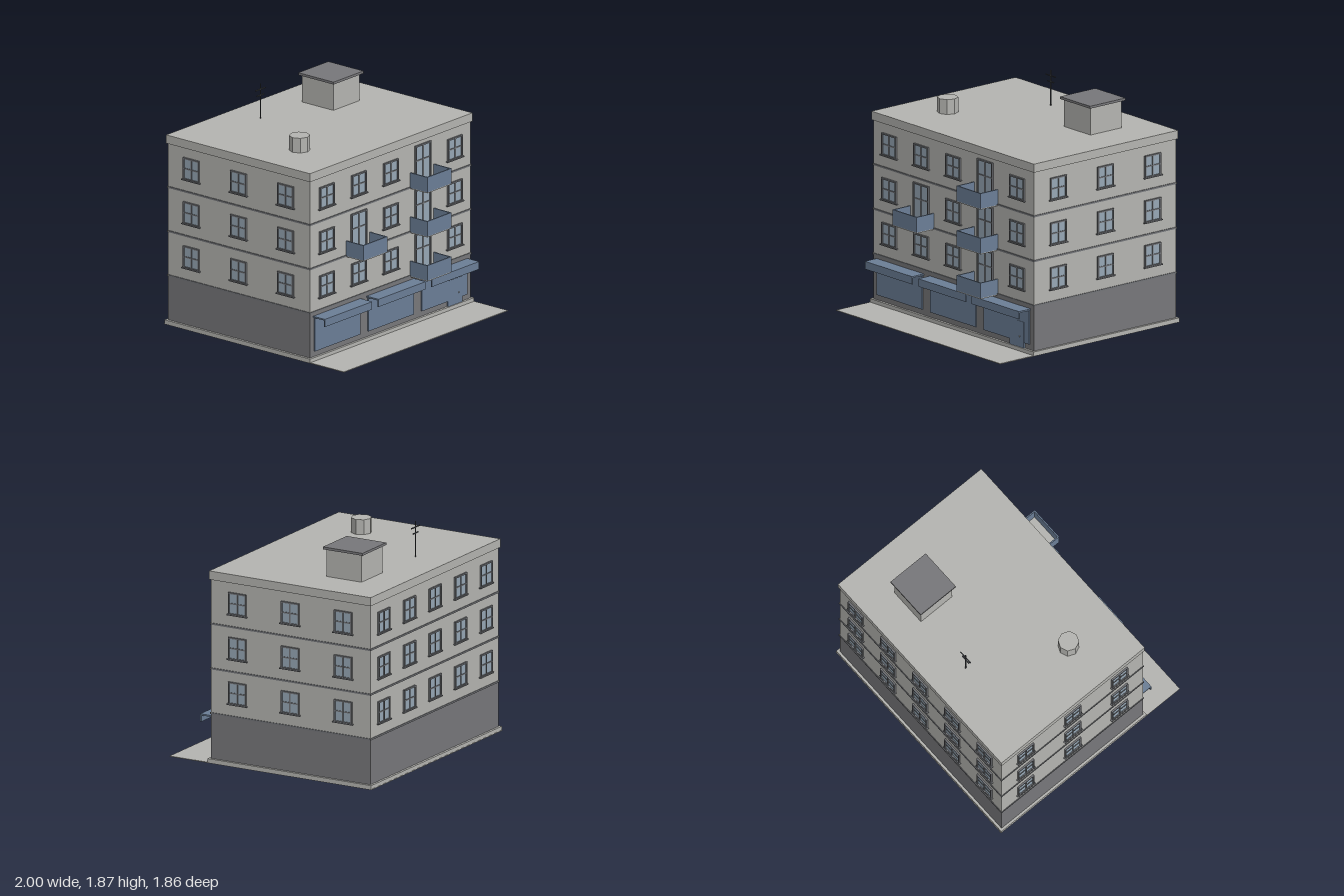
import * as THREE from 'three';

const mat = (name, color) => {
  const m = new THREE.MeshStandardMaterial({ color });
  m.name = name;
  return m;
};

export function createModel() {
  const concrete = mat('concrete', 0xb4b4b0);
  const darkStone = mat('dark stone', 0x77777a);
  const trim = mat('trim grey', 0x727478);
  const blue = mat('painted blue', 0x6b7e96);
  const glass = mat('window glass', 0x96a7b5);
  const metal = mat('antenna metal', 0x45484d);

  const model = new THREE.Group();
  model.name = 'apartmentBlock';

  // Box given by its centre x/z, bottom y and top y
  const box = (parent, name, m, w, d, y0, y1, x = 0, z = 0) => {
    const mesh = new THREE.Mesh(new THREE.BoxGeometry(w, y1 - y0, d), m);
    mesh.name = name;
    mesh.position.set(x, (y0 + y1) / 2, z);
    parent.add(mesh);
    return mesh;
  };
  const group = (parent, name, x = 0, y = 0, z = 0, turn = 0) => {
    const g = new THREE.Group();
    g.name = name;
    g.position.set(x, y, z);
    g.rotation.y = turn;
    parent.add(g);
    return g;
  };

  const W = 1.96, D = 1.47, CZ = -0.173, FRONT = CZ + D / 2;
  const FLOOR0 = 0.405, STOREY = 0.3675;

  // Main body
  box(model, 'pavement', concrete, 2, 1.86, 0, 0.006);
  box(model, 'plinth', concrete, 2, 1.51, 0.006, 0.036, 0, CZ);
  box(model, 'groundFloor', darkStone, W, D, 0.036, FLOOR0, 0, CZ);
  box(model, 'upperFloors', concrete, W, D, FLOOR0, 1.505, 0, CZ);
  box(model, 'parapet', concrete, W + 0.02, D + 0.02, 1.505, 1.575, 0, CZ);
  for (let f = 0; f < 3; f++) {
    const y = FLOOR0 + f * STOREY;
    box(model, 'floorBand', trim, W + 0.012, D + 0.012, y - 0.005, y + 0.009, 0, CZ);
  }

  // Glazed opening with frame and cross bars, facing local +z
  const glazing = (g, w, y0, y1, yBar) => {
    const t = 0.012, d = 0.014;
    box(g, 'pane', glass, w - t, 0.006, y0 + t / 2, y1 - t / 2, 0, 0.003);
    for (const s of [-1, 1]) box(g, 'frameSide', trim, t, d, y0, y1, s * (w - t) / 2, d / 2);
    for (const y of [y0, y1 - t]) box(g, 'frameRail', trim, w - 2 * t, d, y, y + t, 0, d / 2);
    box(g, 'verticalBar', trim, 0.01, 0.012, y0 + t, y1 - t, 0, 0.006);
    box(g, 'crossBar', trim, w - 2 * t, 0.011, yBar - 0.005, yBar + 0.005, 0, 0.0055);
  };
  const addWindow = (x, y, z, turn, w) => {
    const g = group(model, 'window', x, y, z, turn);
    glazing(g, w, 0.103, 0.286, 0.195);
    box(g, 'sill', trim, w + 0.02, 0.02, 0.098, 0.107, 0, 0.01);
  };

  // Balcony with its door
  const addBalcony = (x, y) => {
    const g = group(model, 'balcony', x, y, FRONT);
    glazing(g, 0.19, 0.009, 0.333, 0.205);
    const w = 0.296, d = 0.178, t = 0.011;
    box(g, 'balconySlab', concrete, w - 0.004, d - 0.002, -0.008, 0.005, 0, d / 2 - 0.001);
    box(g, 'frontPanel', blue, w, t, 0, 0.125, 0, d - t / 2);
    for (const s of [-1, 1]) box(g, 'sidePanel', blue, t, d - t, 0, 0.125, s * (w - t) / 2, (d - t) / 2);
    box(g, 'storageBox', concrete, 0.06, 0.045, 0.005, 0.05, 0.08, 0.055);
  };

  // Windows on all four walls
  for (let f = 0; f < 3; f++) {
    const y = FLOOR0 + f * STOREY;
    for (let i = -2; i <= 2; i++) {
      const x = i * 0.39;
      if (i === 1 || (i === -1 && f === 1)) addBalcony(x, y);
      else addWindow(x, y, FRONT, 0, 0.178);
      addWindow(x, y, CZ - D / 2, Math.PI, 0.178);
    }
    for (let i = -1; i <= 1; i++)
      for (const s of [-1, 1]) addWindow(s * W / 2, y, CZ + i * 0.488, s * Math.PI / 2, 0.165);
  }

  // Shop fronts with awnings
  for (const x of [-0.652, 0, 0.652]) {
    const g = group(model, 'shop', x, 0, FRONT);
    box(g, 'shopFront', blue, 0.554, 0.01, 0.08, 0.36, 0, 0.005);
    box(g, 'awningTop', blue, 0.576, 0.122, 0.362, 0.374, 0, 0.061);
    box(g, 'awningLip', blue, 0.576, 0.01, 0.31, 0.362, 0, 0.117);
  }

  // Entrance door
  box(model, 'entranceDoor', blue, 0.175, 0.012, 0.036, 0.25, 0.78, FRONT + 0.006);
  const knob = new THREE.Mesh(new THREE.SphereGeometry(0.006, 8, 6), concrete);
  knob.name = 'doorKnob';
  knob.position.set(0.82, 0.125, FRONT + 0.014);
  model.add(knob);

  // Roof: stair housing, vent and antenna
  box(model, 'stairHousing', concrete, 0.322, 0.322, 1.575, 1.8, 0.486, -0.465);
  box(model, 'stairHousingCap', darkStone, 0.365, 0.365, 1.8, 1.82, 0.486, -0.465);

  const vent = new THREE.Mesh(
    new THREE.CylinderGeometry(0.084, 0.084, 0.122, 8).toNonIndexed(), concrete);
  vent.geometry.computeVertexNormals();
  vent.name = 'roofVent';
  vent.position.set(-0.59, 1.636, 0.123);
  model.add(vent);

  const antenna = group(model, 'antenna', -0.2, 0, -0.612);
  box(antenna, 'mast', metal, 0.007, 0.007, 1.575, 1.867);
  box(antenna, 'longBar', metal, 0.122, 0.008, 1.815, 1.823);
  box(antenna, 'shortBar', metal, 0.085, 0.008, 1.766, 1.774);

  return model;
}
